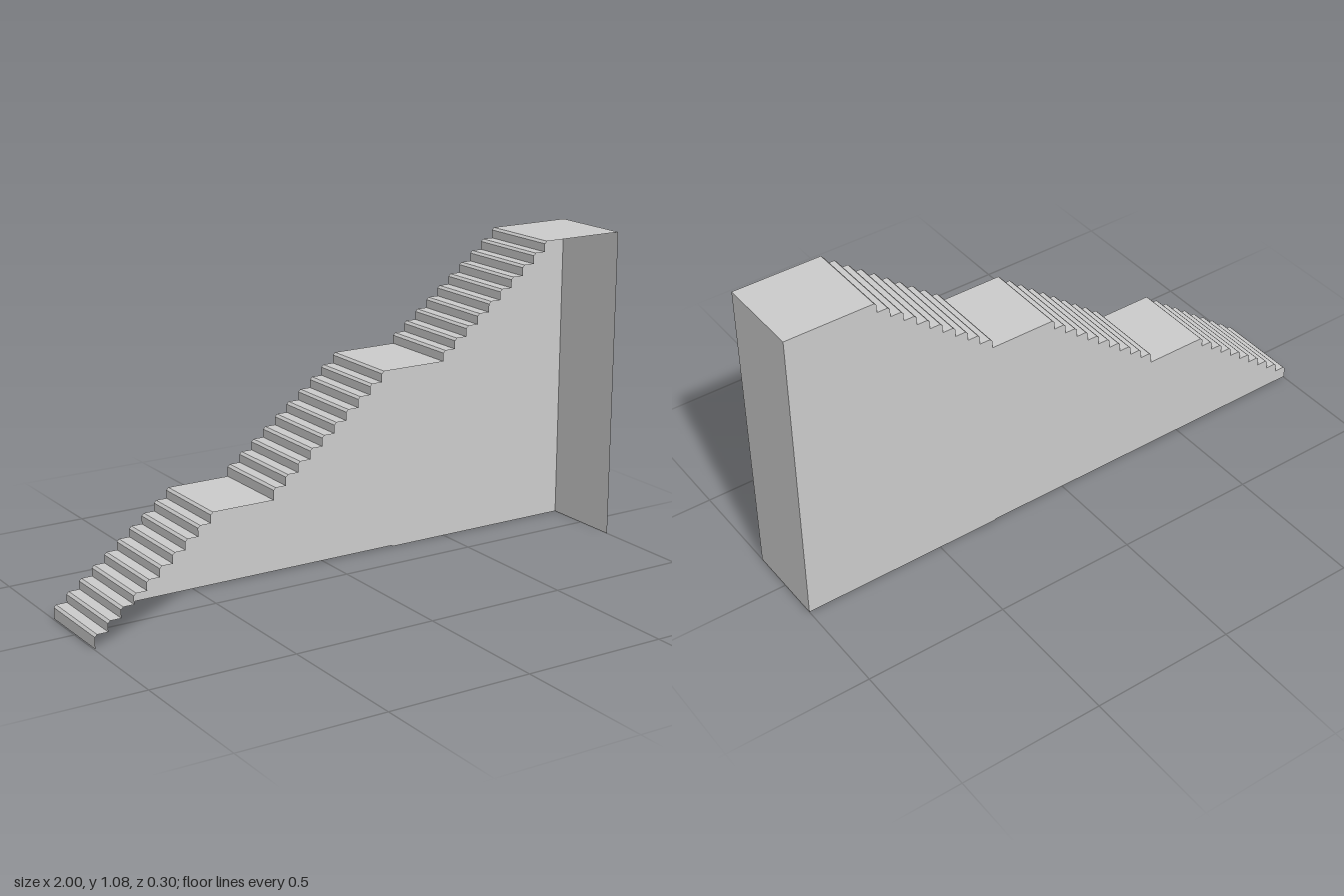
import * as THREE from 'three';

const HALF_WIDTH = 0.148;
const RUN = 0.0452; // tread depth
const NOSE = 0.008; // bevel on each tread edge
const STEPS = 10;

// Each flight: start x, landing end x, base height, first tread height, landing height, wall foot
const FLIGHTS = [
  { name: 'lower', x0: -1, x1: -0.367, base: 0.004, first: 0.05, top: 0.367, foot: 0.004 },
  { name: 'middle', x0: -0.367, x1: 0.28, base: 0.367, first: 0.407, top: 0.728, foot: 0.004 },
  { name: 'upper', x0: 0.28, x1: 1, base: 0.728, first: 0.764, top: 1.083, foot: 0 },
];

// Side profile of one flight followed by its landing
function flightProfile({ x0, x1, base, first, top }) {
  const points = [new THREE.Vector2(x0, base)];
  for (let i = 0; i < STEPS; i++) {
    const x = x0 + i * RUN;
    const y = first + ((top - first) * i) / (STEPS - 1);
    const end = i === STEPS - 1 ? x1 : x + RUN;
    points.push(
      new THREE.Vector2(x, y - NOSE),
      new THREE.Vector2(x + NOSE, y),
      new THREE.Vector2(end, y),
    );
  }
  return points;
}

// Sweep a profile across the width as a faceted sheet
function sheet(points) {
  const positions = [];
  for (let i = 0; i + 1 < points.length; i++) {
    const a = points[i], b = points[i + 1], w = HALF_WIDTH;
    positions.push(a.x, a.y, w, b.x, b.y, w, b.x, b.y, -w);
    positions.push(a.x, a.y, w, b.x, b.y, -w, a.x, a.y, -w);
  }
  const geometry = new THREE.BufferGeometry();
  geometry.setAttribute('position', new THREE.Float32BufferAttribute(positions, 3));
  geometry.computeVertexNormals();
  return geometry;
}

export function createModel() {
  const model = new THREE.Group();
  model.name = 'staircase';
  const material = new THREE.MeshStandardMaterial({
    color: 0xcccccc, flatShading: true, side: THREE.DoubleSide,
  });
  const add = (geometry, name, parent) => {
    const mesh = new THREE.Mesh(geometry, material);
    mesh.name = name;
    parent.add(mesh);
    return mesh;
  };

  for (const flight of FLIGHTS) {
    const group = new THREE.Group();
    group.name = `${flight.name}Flight`;
    model.add(group);

    // Steps and landing
    const profile = flightProfile(flight);
    add(sheet(profile), 'stepsAndLanding', group);

    // Wall along the back; the front and underside stay open
    const wall = new THREE.Shape([
      new THREE.Vector2(flight.x0, flight.foot),
      new THREE.Vector2(flight.x1, flight.foot),
      ...profile.slice().reverse().slice(0, flight.base === flight.foot ? -1 : undefined),
    ]);
    add(new THREE.ShapeGeometry(wall), 'sideWall', group).position.z = -HALF_WIDTH;
  }

  // Tall wall closing the high end
  const last = FLIGHTS[FLIGHTS.length - 1];
  add(sheet([new THREE.Vector2(1, last.top), new THREE.Vector2(1, 0)]), 'endWall', model);
  return model;
}
